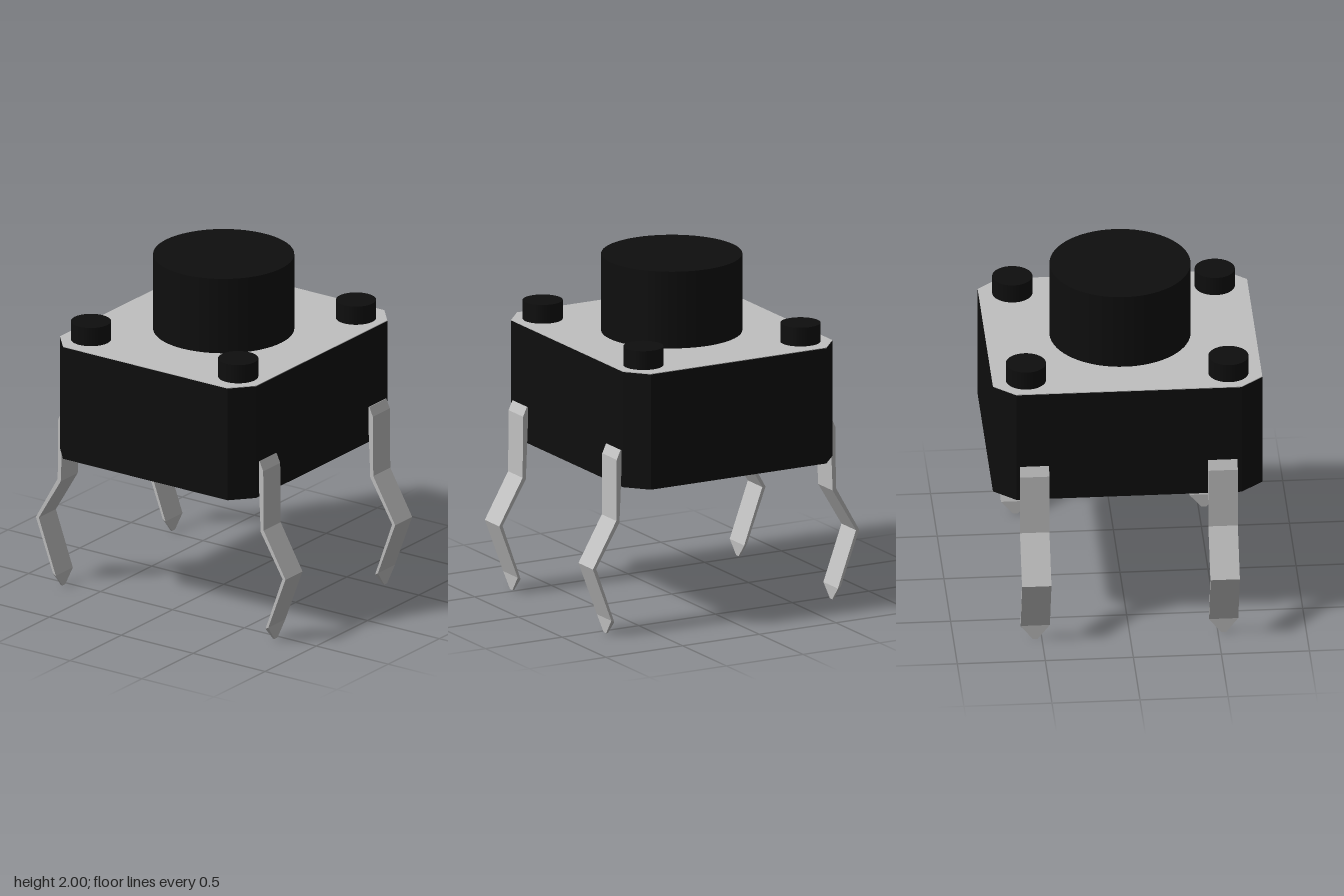
import * as THREE from 'three';

const black = new THREE.MeshStandardMaterial({ color: 0x0e0e0e });
black.name = 'black plastic';
const metal = new THREE.MeshStandardMaterial({ color: 0xc0c0c0 });
metal.name = 'light grey metal';

function addMesh(parent, name, geometry, material, x = 0, y = 0, z = 0) {
  const mesh = new THREE.Mesh(geometry, material);
  mesh.name = name;
  mesh.position.set(x, y, z);
  parent.add(mesh);
  return mesh;
}

// Rectangle with cut corners, extruded upwards from y = 0
function cutCornerSlab(height) {
  const X = 0.765, Z = 0.682, cx = 0.64, cz = 0.572;
  const shape = new THREE.Shape([
    [X, -cz], [X, cz], [cx, Z], [-cx, Z], [-X, cz], [-X, -cz], [-cx, -Z], [cx, -Z],
  ].map(([x, z]) => new THREE.Vector2(x, z)));
  return new THREE.ExtrudeGeometry(shape, { depth: height, bevelEnabled: false }).rotateX(-Math.PI / 2);
}

// Bent strip: each station is [y outer, z outer, y inner, z inner, half width]
function legGeometry() {
  const stations = [
    [1.085, 0.688, 1.075, 0.665, 0.083],
    [1.03, 0.713, 1.02, 0.68, 0.083],
    [0.672, 0.716, 0.66, 0.695, 0.083],
    [0.407, 0.868, 0.407, 0.847, 0.083],
    [0.09, 0.748, 0.08, 0.729, 0.083],
    [0.0, 0.743, 0.0, 0.732, 0.014],
  ];
  const rows = stations.length - 1;
  const geometry = new THREE.BoxGeometry(2, rows, 2, 1, rows, 1);
  const p = geometry.attributes.position;
  for (let i = 0; i < p.count; i++) {
    const [yo, zo, yi, zi, w] = stations[Math.round(rows / 2 - p.getY(i))];
    const outer = p.getZ(i) > 0;
    p.setXYZ(i, p.getX(i) * w, outer ? yo : yi, outer ? zo : zi);
  }
  const flat = geometry.toNonIndexed();
  flat.computeVertexNormals();
  return flat;
}

export function createModel() {
  const model = new THREE.Group();
  model.name = 'pushSwitch';

  // Housing and its thin metal cover
  addMesh(model, 'housing', cutCornerSlab(0.676), black, 0, 0.87, 0);
  addMesh(model, 'coverPlate', cutCornerSlab(0.004), metal, 0, 1.546, 0);

  // Round push button
  addMesh(model, 'button', new THREE.CylinderGeometry(0.4, 0.4, 0.46, 64), black, 0, 1.77, 0);

  // Corner pegs
  const peg = new THREE.CylinderGeometry(0.114, 0.114, 0.12, 40);
  for (const x of [-0.577, 0.573]) {
    for (const z of [-0.512, 0.512]) addMesh(model, 'cornerPeg', peg, black, x, 1.6, z);
  }

  // Four bent legs, the back pair turned around
  const leg = legGeometry();
  for (const x of [-0.532, 0.538]) {
    addMesh(model, 'frontLeg', leg, metal, x);
    addMesh(model, 'backLeg', leg, metal, x).rotation.y = Math.PI;
  }
  return model;
}
